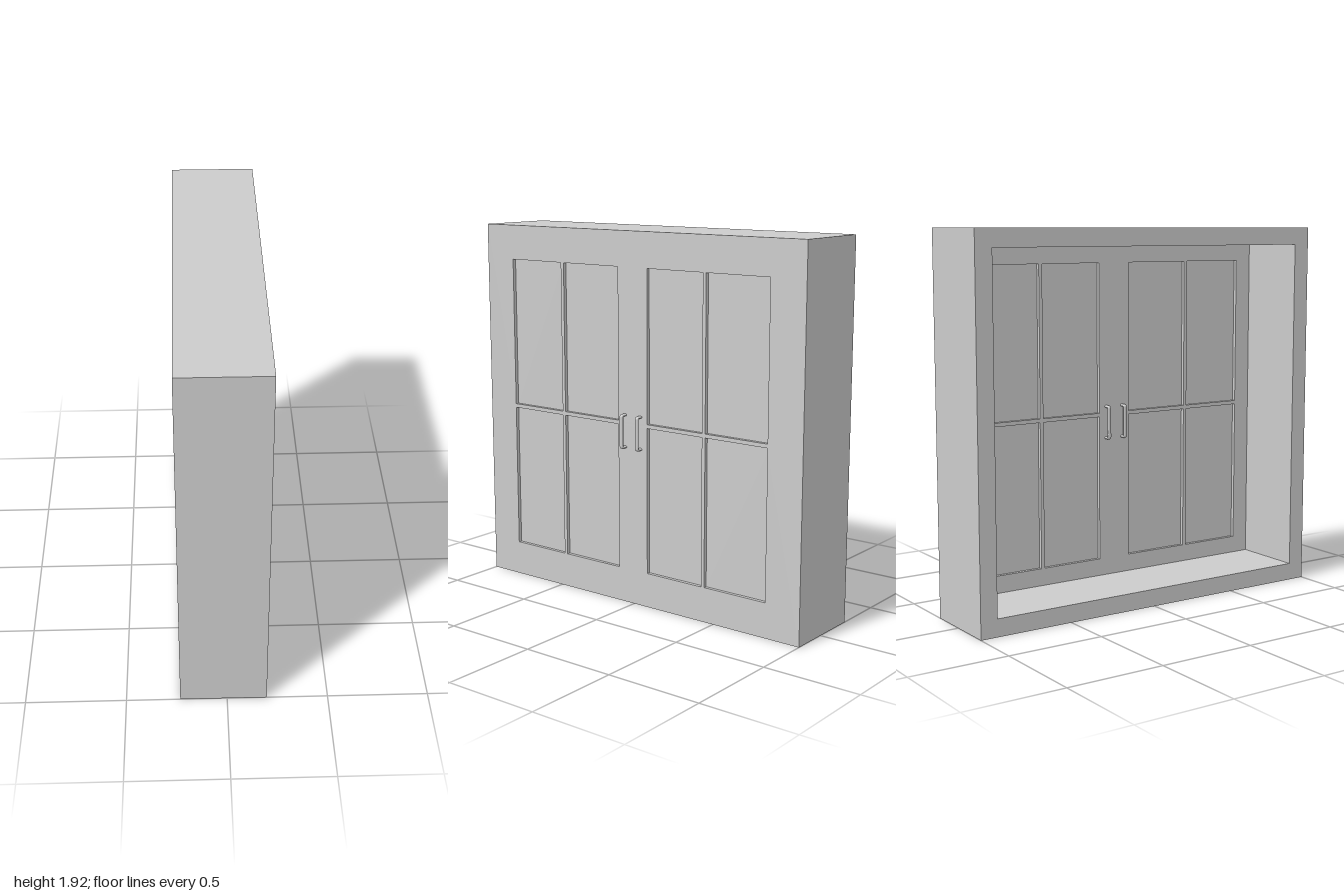
import * as THREE from 'three';

const BACK = -0.233, INNER = 0.147, FRONT = 0.197, TIP = 0.233;
const HEIGHT = 1.92, RIM = 0.09;

// Pane openings as [low, high] along z and y
const COLUMNS = [[0.46, 0.818], [0.099, 0.46], [-0.425, -0.086], [-0.805, -0.444]];
COLUMNS[0] = [0.479, 0.818];
const ROWS = [[0.18, 0.94], [0.96, 1.74]];

const material = new THREE.MeshStandardMaterial({ color: 0xcccccc });

function add(group, name, geometry) {
  const mesh = new THREE.Mesh(geometry, material);
  mesh.name = name;
  group.add(mesh);
  return mesh;
}

// Rectangle outline in (z, y); z is negated because the extrusion is turned to run along x
function rectangle(Type, z0, z1, y0, y1) {
  return new Type([[-z1, y0], [-z0, y0], [-z0, y1], [-z1, y1]].map(([a, b]) => new THREE.Vector2(a, b)));
}

function slab(shape, x0, x1) {
  return new THREE.ExtrudeGeometry(shape, { depth: x1 - x0, bevelEnabled: false })
    .rotateY(Math.PI / 2)
    .translate(x0, 0, 0);
}

// Bent pull bar standing off the door face; dir is +1 outside, -1 inside
function pullBar(face, dir) {
  const path = new THREE.CurvePath();
  const r = 0.007, out = face + dir * (TIP - FRONT - r), foot = face - dir * 0.005;
  const low = 0.82 + r, high = 1.0 - r, c = 0.008;
  const p = (x, y) => new THREE.Vector3(x, y, 0);
  path.add(new THREE.LineCurve3(p(foot, low), p(out - dir * c, low)));
  path.add(new THREE.QuadraticBezierCurve3(p(out - dir * c, low), p(out, low), p(out, low + c)));
  path.add(new THREE.LineCurve3(p(out, low + c), p(out, high - c)));
  path.add(new THREE.QuadraticBezierCurve3(p(out, high - c), p(out, high), p(out - dir * c, high)));
  path.add(new THREE.LineCurve3(p(out - dir * c, high), p(foot, high)));
  return new THREE.TubeGeometry(path, 80, r, 12).scale(1, 1, 1.55);
}

export function createModel() {
  const model = new THREE.Group();
  model.name = 'cabinet';

  // Case: four walls, open at the rear
  const walls = rectangle(THREE.Shape, -1, 1, 0, HEIGHT);
  walls.holes.push(rectangle(THREE.Path, -1 + RIM, 1 - RIM, RIM, HEIGHT - RIM));
  add(model, 'case', slab(walls, BACK, INNER));

  // Door face with the pane openings, and a thin pane in each
  const face = rectangle(THREE.Shape, -1, 1, 0, HEIGHT);
  const panes = new THREE.Group();
  panes.name = 'panes';
  const columns = [COLUMNS[0], [0.099, 0.46], COLUMNS[2], COLUMNS[3]];
  for (const [z0, z1] of columns) {
    for (const [y0, y1] of ROWS) {
      face.holes.push(rectangle(THREE.Path, z0, z1, y0, y1));
      const pane = add(panes, 'pane', new THREE.BoxGeometry(0.012, y1 - y0, z1 - z0));
      pane.position.set((INNER + FRONT) / 2, (y0 + y1) / 2, (z0 + z1) / 2);
    }
  }
  add(model, 'doorFace', slab(face, INNER, FRONT));
  model.add(panes);

  // Handles on both faces of each door
  for (const z of [0.056, -0.043]) {
    add(model, 'outerHandle', pullBar(FRONT, 1)).position.z = z;
    add(model, 'innerHandle', pullBar(INNER, -1)).position.z = z;
  }
  return model;
}
